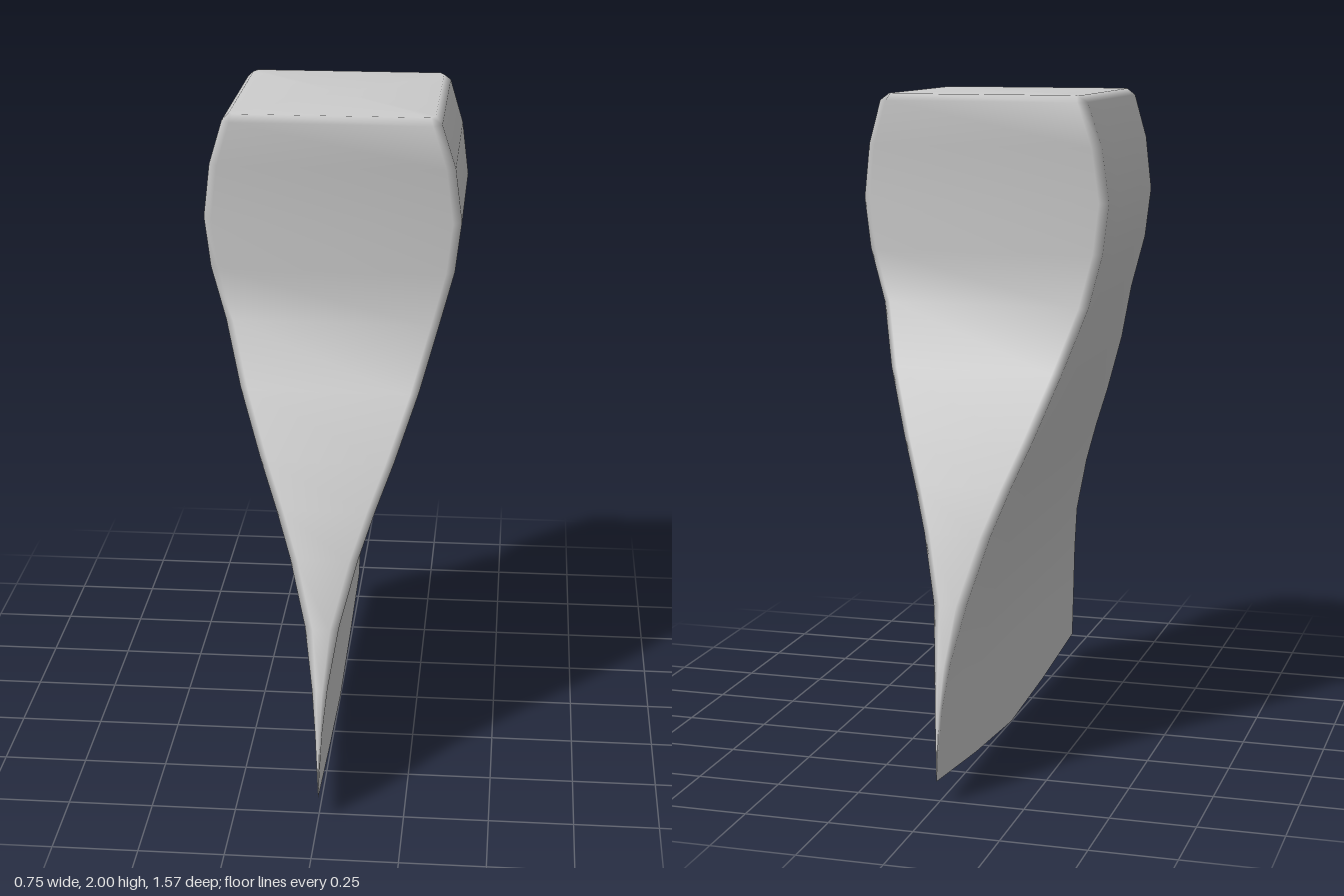
import * as THREE from 'three';

// Levels from the poll down to the cutting edge: [height, half width x, half depth z]
const LEVELS = [
  [2.0, 0.295, 0.31], [1.98, 0.315, 0.333], [1.85, 0.355, 0.32], [1.69, 0.375, 0.31],
  [1.54, 0.357, 0.31], [1.38, 0.315, 0.31], [1.2, 0.262, 0.408], [1.01, 0.196, 0.49],
  [0.88, 0.146, 0.546], [0.747, 0.1, 0.6], [0.56, 0.05, 0.67], [0.4, 0.023, 0.737],
  [0.27, 0.01, 0.77], [0.07, 0, 0.785],
];
const BEVEL = 0.025;
const EDGE_SAG = 0.07; // how far the cutting edge bows down at its middle
const STEPS = [-1, -0.5, 0, 0.5, 1]; // columns across each cheek

// One closed cross-section: two cheeks joined by bevelled corners
function section([y, w, d], sag) {
  const b = Math.min(BEVEL, w * 0.6);
  const bx = y === 2 ? 0.012 : b;
  const cheek = (side) => STEPS.map((t) => [
    side * w, y - sag * (1 - Math.abs(t) ** 1.3), side * t * (d - b),
  ]);
  return [
    ...cheek(1), [w - bx, y, d], [bx - w, y, d],
    ...cheek(-1), [bx - w, y, -d], [w - bx, y, -d],
  ];
}

function headGeometry() {
  const rings = LEVELS.map((l, i) => section(l, i === LEVELS.length - 1 ? EDGE_SAG : 0));
  const n = rings[0].length;
  const index = [];
  for (let i = 0; i < rings.length - 1; i++) {
    for (let j = 0; j < n; j++) {
      const a = i * n + j, b = i * n + (j + 1) % n;
      index.push(a + n, a, b, a + n, b, b + n);
    }
  }
  // Flat top of the poll
  const centre = rings.length * n;
  for (let j = 0; j < n; j++) index.push(centre, (j + 1) % n, j);

  const geometry = new THREE.BufferGeometry();
  const points = [...rings.flat(), [0, 2, 0]].flat();
  geometry.setAttribute('position', new THREE.Float32BufferAttribute(points, 3));
  geometry.setIndex(index);
  geometry.computeVertexNormals();
  return geometry;
}

export function createModel() {
  const group = new THREE.Group();
  group.name = 'axe';
  const head = new THREE.Mesh(headGeometry(), new THREE.MeshStandardMaterial({ color: 0xcccccc }));
  head.name = 'axeHead';
  group.add(head);
  return group;
}
